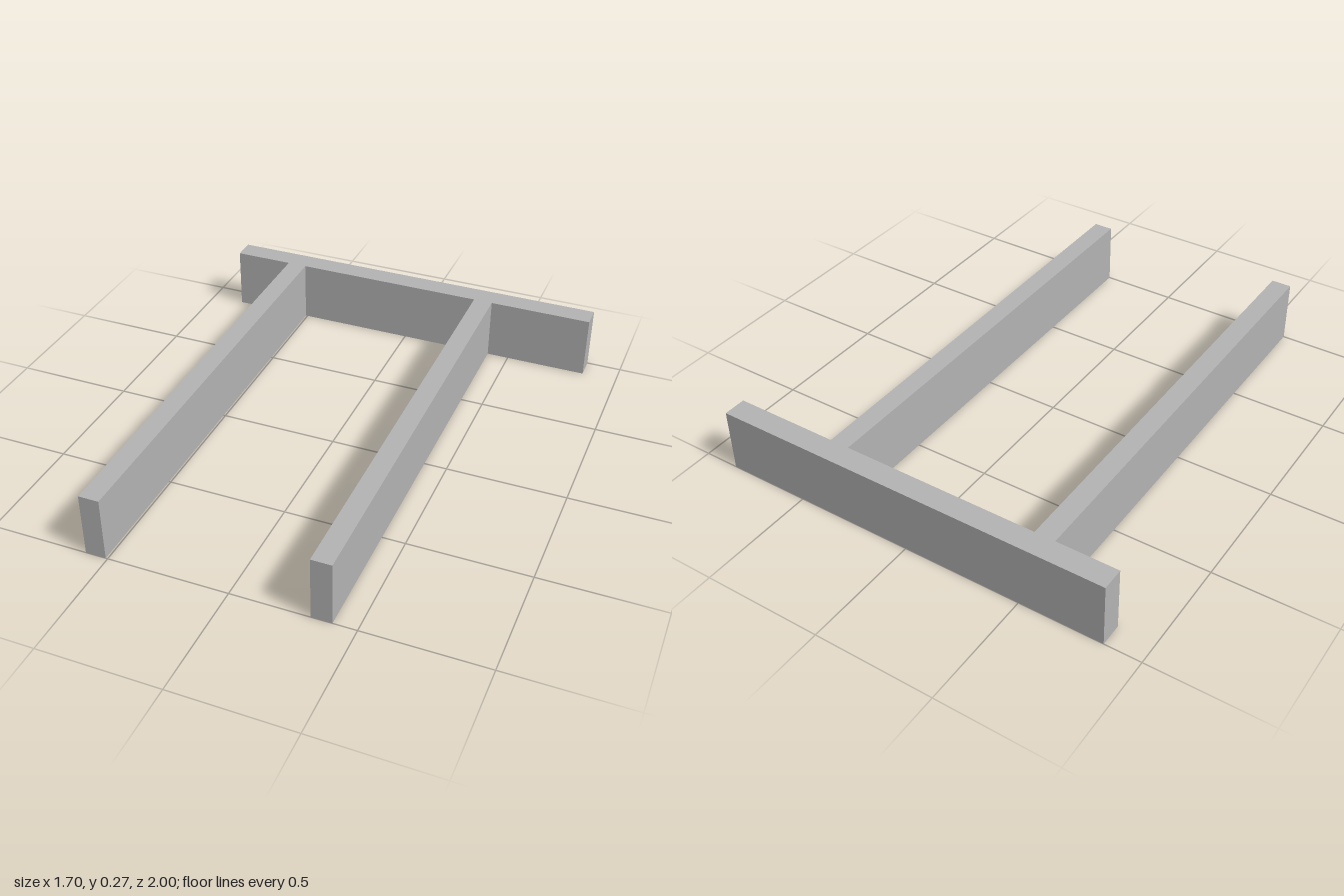
import * as THREE from 'three';

export function createModel() {
  const model = new THREE.Group();
  model.name = 'wallFrame';

  const grey = new THREE.MeshStandardMaterial({ color: 0xb3b3b3 });
  grey.name = 'plain grey';

  const height = 0.27;
  const backZ = -1, frontZ = 1, joinZ = -0.905;

  // Upright slab standing on the ground, given by its x and z limits
  function addWall(name, x0, x1, z0, z1) {
    const wall = new THREE.Mesh(new THREE.BoxGeometry(x1 - x0, height, z1 - z0), grey);
    wall.name = name;
    wall.position.set((x0 + x1) / 2, height / 2, (z0 + z1) / 2);
    model.add(wall);
  }

  // Cross wall along the back
  addWall('backWall', -0.85, 0.85, backZ, joinZ);

  // Two long walls running forward from it, set off-centre
  addWall('rightWall', -0.593, -0.508, joinZ, frontZ);
  addWall('leftWall', 0.322, 0.405, joinZ, frontZ);

  return model;
}
